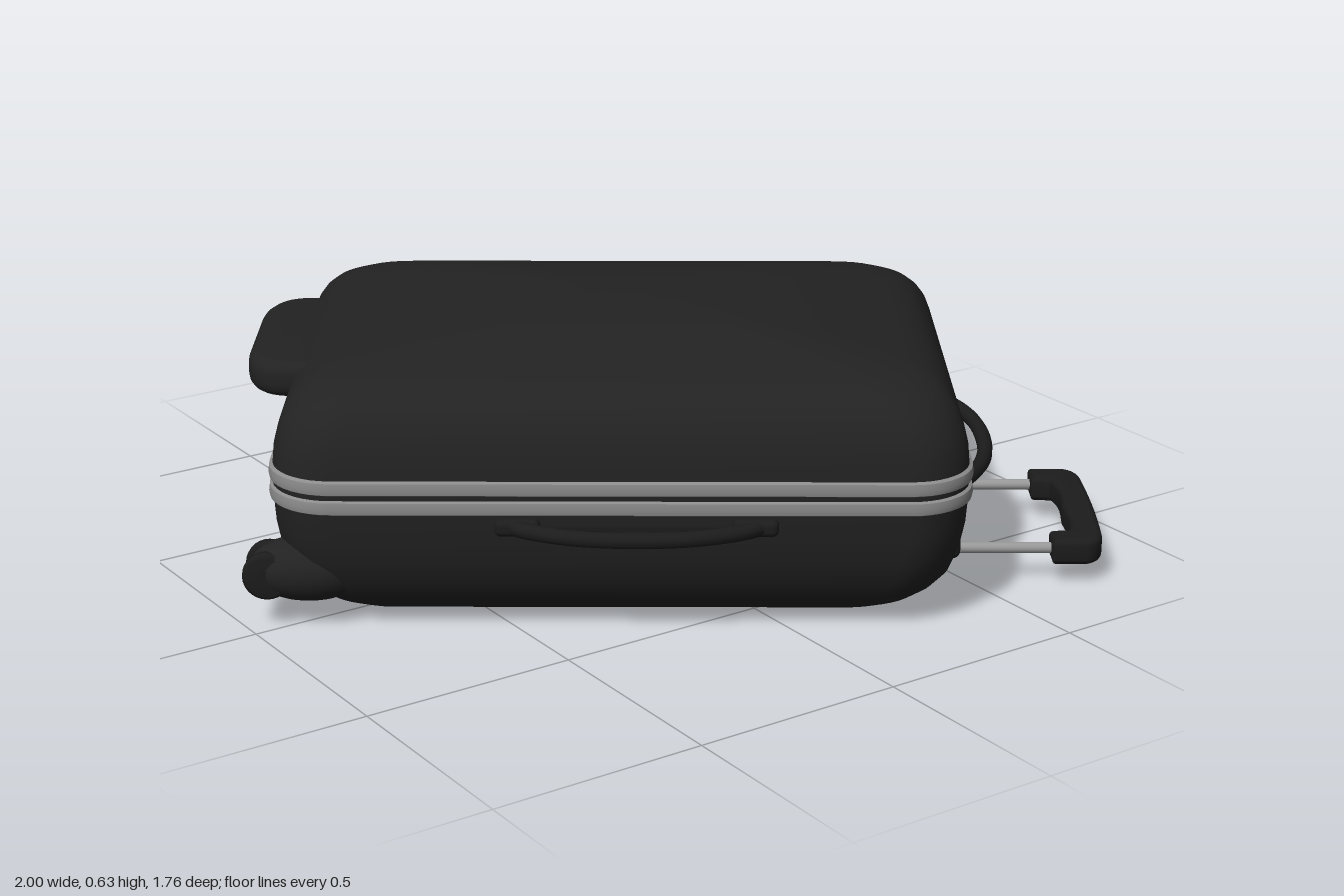
import * as THREE from 'three';
import { toCreasedNormals } from 'three/addons/utils/BufferGeometryUtils.js';
import { RoundedBoxGeometry } from 'three/addons/geometries/RoundedBoxGeometry.js';

// Local frame: x runs from wheels to pull handle, z across the width.
const HALF_L = 0.77, HALF_W = 0.567, CORNER = 0.14, CX = -0.02, CZ = 0.012;

const shellMat = new THREE.MeshStandardMaterial({ color: 0x222222, side: THREE.DoubleSide });
const darkMat = new THREE.MeshStandardMaterial({ color: 0x1c1c1c });
const trimMat = new THREE.MeshStandardMaterial({ color: 0x8c8c8c, side: THREE.DoubleSide });
const rodMat = new THREE.MeshStandardMaterial({ color: 0x999999 });

function mesh(name, geometry, material, x = 0, y = 0, z = 0) {
  const m = new THREE.Mesh(geometry, material);
  m.name = name;
  m.position.set(x, y, z);
  return m;
}

// Rounded-rectangle outline, inset from the case edge and scaled about the centre
function outline(inset, scale) {
  const a = HALF_L - inset, b = HALF_W - inset;
  const r = CORNER - Math.min(inset, 0) * 0.5;
  const pts = [], n = 10;
  const signs = [[1, 1], [-1, 1], [-1, -1], [1, -1]];
  signs.forEach(([sx, sz], q) => {
    for (let i = 0; i <= n; i++) {
      const t = (q + i / n) * Math.PI / 2;
      pts.push([(sx * (a - r) + r * Math.cos(t)) * scale, (sz * (b - r) + r * Math.sin(t)) * scale]);
    }
  });
  return pts;
}

// Skin through rings listed bottom to top as [y, inset, scale]
function loft(rings, crease = 0.7) {
  const pos = [], index = [];
  let n = 0;
  for (const [y, inset, scale = 1] of rings) {
    const pts = outline(inset, scale);
    n = pts.length;
    for (const [x, z] of pts) pos.push(x + CX, y, z + CZ);
  }
  for (let i = 0; i < rings.length - 1; i++) {
    for (let j = 0; j < n; j++) {
      const a = i * n + j, b = i * n + (j + 1) % n;
      index.push(a, a + n, b, b, a + n, b + n);
    }
  }
  const g = new THREE.BufferGeometry();
  g.setAttribute('position', new THREE.Float32BufferAttribute(pos, 3));
  g.setIndex(index);
  g.computeVertexNormals();
  return toCreasedNormals(g, crease);
}

// Rings of a shallow dome closing a shell
function dome(yEdge, yCentre, inset) {
  return [1, 0.9, 0.8, 0.65, 0.5, 0.35, 0.2, 0.001].map(s => [yCentre + (yEdge - yCentre) * s * s, inset, s]);
}

// Flat plan shape in x/z, extruded downwards from y with rounded edges
function slab(shape, height, bevel) {
  const g = new THREE.ExtrudeGeometry(shape, {
    depth: height - 2 * bevel, bevelThickness: bevel, bevelSize: bevel,
    bevelOffset: -bevel, bevelSegments: 4, curveSegments: 16,
  });
  g.rotateX(Math.PI / 2);
  g.translate(0, height / 2 - bevel, 0);
  return toCreasedNormals(g, 0.6);
}

// Carry strap, bowed along +z, with a mount at each end
function carryHandle(name) {
  const g = new THREE.Group();
  g.name = name;
  const path = new THREE.CatmullRomCurve3(
    [[-0.29, -0.02], [-0.25, 0.02], [-0.14, 0.065], [0, 0.08], [0.14, 0.065], [0.25, 0.02], [0.29, -0.02]]
      .map(([x, z]) => new THREE.Vector3(x, 0, z)));
  g.add(mesh('strap', new THREE.TubeGeometry(path, 40, 0.018, 10), darkMat));
  for (const s of [-1, 1]) {
    g.add(mesh('strapMount', new RoundedBoxGeometry(0.1, 0.04, 0.05, 3, 0.015), darkMat, s * 0.26, 0, -0.005));
  }
  g.add(mesh('backPlate', new RoundedBoxGeometry(0.5, 0.035, 0.02, 2, 0.008), darkMat, 0, 0, -0.012));
  return g;
}

// Twin wheel with its moulded housing
function cornerWheel(side) {
  const g = new THREE.Group();
  g.name = side > 0 ? 'leftWheelUnit' : 'rightWheelUnit';
  const housing = mesh('wheelHousing', new THREE.SphereGeometry(1, 28, 18), shellMat, 0.09, 0.005, 0);
  housing.scale.set(0.135, 0.075, 0.075);
  g.add(housing);
  const profile = [[0.001, -0.018], [0.045, -0.018], [0.054, -0.01], [0.055, 0], [0.054, 0.01], [0.045, 0.018], [0.001, 0.018]]
    .map(p => new THREE.Vector2(...p));
  for (const s of [-1, 1]) {
    const wheel = mesh('wheel', new THREE.LatheGeometry(profile, 28), darkMat, 0, 0, s * 0.036);
    wheel.rotation.x = Math.PI / 2;
    g.add(wheel);
  }
  const axle = mesh('axle', new THREE.CylinderGeometry(0.018, 0.018, 0.11, 16), darkMat);
  axle.rotation.x = Math.PI / 2;
  g.add(axle);
  g.position.set(-0.803, 0.125, CZ + side * 0.475);
  return g;
}

// Telescopic handle: two rods, sockets and a bowed grip
function pullHandle() {
  const g = new THREE.Group();
  g.name = 'pullHandle';
  for (const z of [-0.2, 0.2]) {
    const rod = mesh('rod', new THREE.CylinderGeometry(0.013, 0.013, 0.38, 14), rodMat, 0.83, 0, z);
    rod.rotation.z = Math.PI / 2;
    g.add(rod);
    g.add(mesh('rodSocket', new RoundedBoxGeometry(0.12, 0.06, 0.07, 3, 0.02), darkMat, 0.7, 0.01, z));
  }
  const s = new THREE.Shape();
  s.moveTo(0.97, -0.235);
  s.lineTo(1.05, -0.235);
  s.quadraticCurveTo(1.085, -0.225, 1.09, -0.18);
  s.quadraticCurveTo(1.1, 0, 1.09, 0.18);
  s.quadraticCurveTo(1.085, 0.225, 1.05, 0.235);
  s.lineTo(0.97, 0.235);
  s.lineTo(0.97, 0.165);
  s.lineTo(1.015, 0.16);
  s.bezierCurveTo(1.035, 0.1, 1.025, 0.05, 1.022, 0);
  s.bezierCurveTo(1.025, -0.05, 1.035, -0.1, 1.015, -0.16);
  s.lineTo(0.97, -0.165);
  s.closePath();
  g.add(mesh('grip', slab(s, 0.062, 0.014), darkMat));
  g.position.set(0, 0.078, 0.042);
  return g;
}

export function createModel() {
  const model = new THREE.Group();
  model.name = 'suitcase';

  // Hard shells above and below the trim
  model.add(mesh('lowerShell', loft([
    ...dome(0.015, 0, 0.15).reverse(),
    [0.022, 0.12], [0.04, 0.09], [0.07, 0.06], [0.11, 0.033], [0.17, 0.014], [0.23, 0.004], [0.295, 0],
  ]), shellMat));
  model.add(mesh('upperShell', loft([
    [0.365, 0], [0.41, 0.004], [0.45, 0.014], [0.485, 0.028], [0.515, 0.048], [0.538, 0.072], [0.552, 0.1],
    ...dome(0.562, 0.63, 0.13),
  ]), shellMat));

  // Metal trim in two strips with a dark closure between
  for (const y of [0.29, 0.335]) {
    model.add(mesh('trimStrip', loft([
      [y, 0], [y + 0.004, -0.007], [y + 0.016, -0.009], [y + 0.031, -0.007], [y + 0.035, 0],
    ], 0.5), trimMat));
  }
  model.add(mesh('closureSeam', loft([[0.322, -0.001], [0.338, -0.001]]), shellMat));

  // Carry handles on the long side and on the end
  const sideHandle = carryHandle('sideHandle');
  sideHandle.position.set(0.015, 0.265, CZ + HALF_W);
  const endHandle = carryHandle('endHandle');
  endHandle.rotation.y = Math.PI / 2;
  endHandle.position.set(CX + HALF_L, 0.265, 0.022);
  model.add(sideHandle, endHandle);

  // Rounded grab pad on the wheel end
  const p = new THREE.Shape();
  p.moveTo(-0.68, -0.24);
  p.lineTo(-0.78, -0.24);
  p.bezierCurveTo(-0.85, -0.23, -0.872, -0.16, -0.872, -0.1);
  p.lineTo(-0.872, 0.14);
  p.bezierCurveTo(-0.872, 0.2, -0.85, 0.26, -0.78, 0.27);
  p.lineTo(-0.68, 0.27);
  p.closePath();
  model.add(mesh('grabPad', slab(p, 0.085, 0.03), shellMat, 0, 0.49, 0));

  model.add(cornerWheel(1), cornerWheel(-1), pullHandle());

  // The case lies turned on the ground
  model.rotation.y = -0.596;
  const root = new THREE.Group();
  root.name = 'lyingSuitcase';
  root.add(model);
  return root;
}
